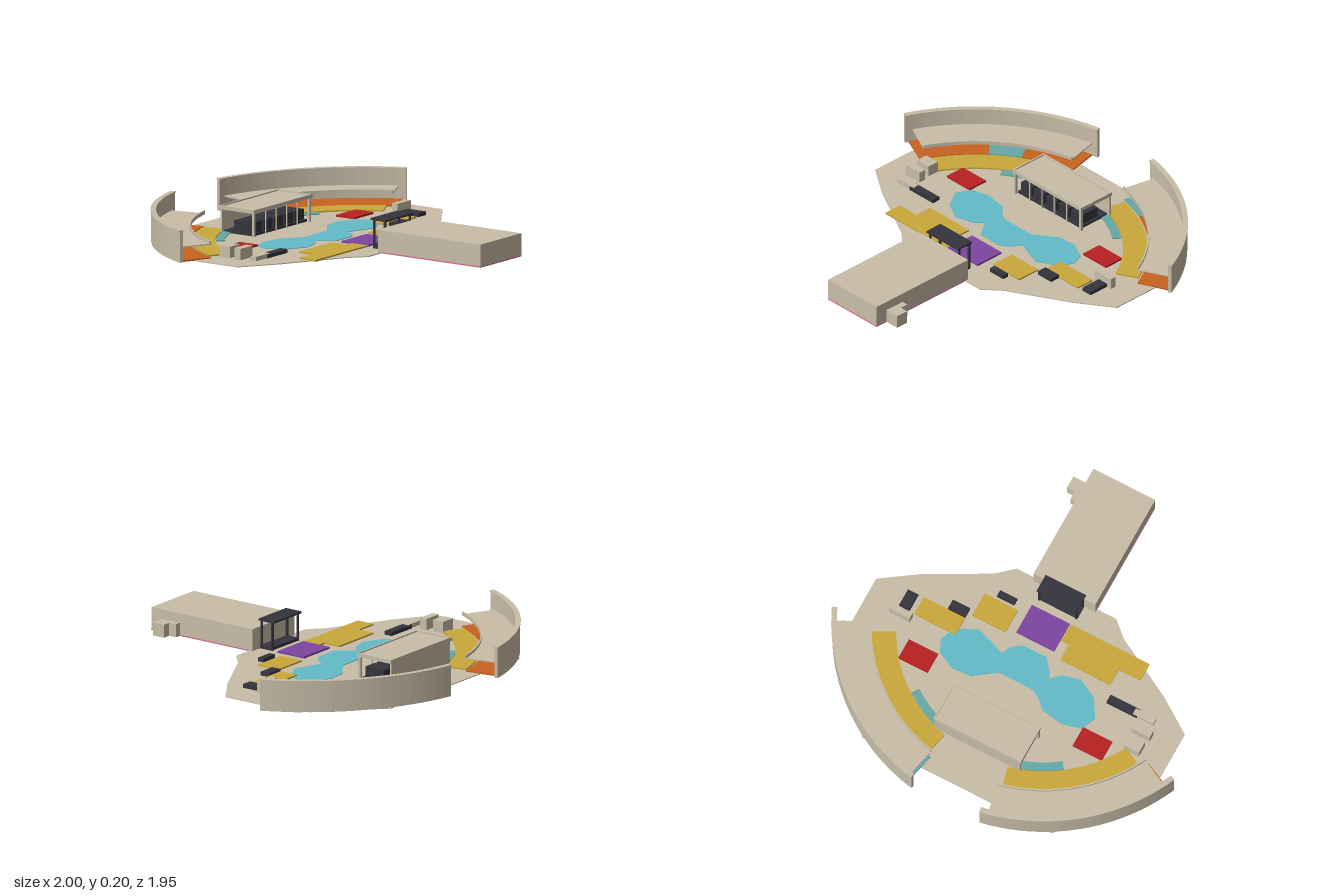
import * as THREE from 'three';

const mat = (name, color) => {
  const m = new THREE.MeshStandardMaterial({ color });
  m.name = name;
  return m;
};

export function createModel() {
  const group = new THREE.Group();
  const beige = mat('beige', 0xc8bda8);
  const yellow = mat('yellow', 0xc9a83a);
  const water = mat('water blue', 0x62bcc8);
  const teal = mat('teal', 0x66a9a6);
  const red = mat('red', 0xb82022);
  const dark = mat('charcoal', 0x34343c);
  const purple = mat('purple', 0x7d45a2);
  const orange = mat('orange', 0xc8621f);
  const pink = mat('pink', 0xe0609c);

  const FLOOR = 0.032;
  const ARC_Z = 0.098; // shared centre of all curved parts
  const rad = THREE.MathUtils.degToRad;

  const add = (name, geometry, material) => {
    const mesh = new THREE.Mesh(geometry, material);
    mesh.name = name;
    group.add(mesh);
    return mesh;
  };
  // box given by its x, y and z ranges
  const box = (name, material, x0, x1, y0, y1, z0, z1) => {
    const g = new THREE.BoxGeometry(x1 - x0, y1 - y0, z1 - z0);
    g.translate((x0 + x1) / 2, (y0 + y1) / 2, (z0 + z1) / 2);
    return add(name, g, material);
  };
  // plan outline in (x, z), raised from y0 to y1
  const slab = (name, material, points, y0, y1) => {
    const shape = new THREE.Shape(points.map(([x, z]) => new THREE.Vector2(x, z)));
    const g = new THREE.ExtrudeGeometry(shape, { depth: y1 - y0, bevelEnabled: false });
    g.rotateX(Math.PI / 2).translate(0, y1, 0);
    return add(name, g, material);
  };
  // ring sector; angles in degrees measured from the back towards +x
  const arc = (name, material, r0, r1, a0, a1, y0, y1) => {
    const n = 20;
    const pts = [];
    const at = (r, a) => [r * Math.sin(rad(a)), ARC_Z - r * Math.cos(rad(a))];
    for (let i = 0; i <= n; i++) pts.push(at(r1, a0 + ((a1 - a0) * i) / n));
    for (let i = n; i >= 0; i--) pts.push(at(r0, a0 + ((a1 - a0) * i) / n));
    return slab(name, material, pts, y0, y1);
  };

  // Main floor plate
  const half = [[0.55, -0.85], [0.9, -0.5], [0.9, -0.05], [0.71, 0.08], [0.38, 0.26], [0.29, 0.34]];
  const mirrored = half.map(([x, z]) => [-x, z]).reverse();
  slab('floor', beige, [...half, ...mirrored], 0.027, FLOOR);

  // Pond with a basin below the floor
  const pond = [
    [-0.455, -0.195], [-0.417, -0.275], [-0.316, -0.3], [-0.19, -0.28], [-0.155, -0.24], [-0.1, -0.205],
    [0.1, -0.205], [0.165, -0.25], [0.22, -0.29], [0.325, -0.297], [0.42, -0.25], [0.45, -0.185],
    [0.42, -0.105], [0.3, -0.045], [0.2, -0.08], [0.14, -0.105], [0.11, -0.05], [0.06, -0.015],
    [-0.075, -0.015], [-0.12, -0.07], [-0.145, -0.11], [-0.19, -0.065], [-0.29, -0.04], [-0.395, -0.095],
  ];
  slab('pondBasin', beige, pond, 0, 0.03);
  slab('pondWater', water, pond, 0.03, FLOOR + 0.003);

  // Curved stands, one on each side
  for (const s of [-1, 1]) {
    const sector = (name, m, r0, r1, a0, a1, y0, y1) =>
      arc(name, m, r0, r1, s * a0, s * a1, y0, y1);
    sector('standWall', beige, 1.072, 1.09, 10.5, 66, FLOOR, 0.195);
    sector('standWallCap', beige, 1.065, 1.094, 10.5, 66, 0.195, 0.2);
    sector('standTerrace', beige, 0.887, 1.073, 12.4, 63.9, 0.1, 0.106);
    sector('standTerraceLip', beige, 0.887, 0.895, 12.4, 63.9, 0.106, 0.12);
    // coloured zones on the ground in front of and below the terrace
    const [t0, t1] = s < 0 ? [31, 42] : [12.4, 24];
    if (s < 0) sector('outerZone', orange, 0.895, 1.072, 12.4, t0, 0.03, 0.038);
    sector('outerZoneMiddle', teal, 0.895, 1.072, t0, t1, 0.03, 0.038);
    sector('outerZoneEnd', orange, 0.895, 1.072, t1, 65, 0.03, 0.038);
    sector('innerZone', yellow, 0.76, 0.885, 14, 62, 0.03, 0.04);
    sector('innerStrip', teal, 0.712, 0.757, 17, 36, 0.03, 0.038);
    const x = s * 0.508;
    box('redPlatform', red, x - 0.085, x + 0.085, 0.03, 0.042, -0.38, -0.265);
  }

  // Pavilion: back wall, roof with raised rim, front posts
  box('pavilionRoof', beige, -0.255, 0.255, 0.155, 0.168, -0.63, -0.41);
  box('pavilionBackWall', beige, -0.25, 0.25, FLOOR, 0.155, -0.628, -0.618);
  for (const s of [-1, 1]) {
    box('pavilionRimSide', beige, s * 0.251 - 0.004, s * 0.251 + 0.004, 0.155, 0.175, -0.63, -0.41);
    const z = s < 0 ? -0.626 : -0.414;
    box('pavilionRimLong', beige, -0.255, 0.255, 0.155, 0.175, z - 0.004, z + 0.004);
    box('pavilionPost', beige, s * 0.243 - 0.007, s * 0.243 + 0.007, FLOOR, 0.155, -0.428, -0.414);
  }
  // dark stalls and slim posts inside the pavilion
  box('pavilionStage', dark, -0.235, 0.235, FLOOR, 0.045, -0.615, -0.43);
  for (let i = 0; i < 5; i++) {
    const x = -0.184 + i * 0.092;
    box('pavilionStall', dark, x - 0.038, x + 0.038, 0.045, 0.1, -0.56, -0.44);
    if (i < 4) box('pavilionSlimPost', beige, x + 0.043, x + 0.049, FLOOR, 0.155, -0.424, -0.418);
  }

  // Entrance hall and its annex
  box('entranceHall', beige, -0.18, 0.18, 0.028, 0.15, 0.32, 0.97);
  box('entranceHallTrim', pink, -0.181, 0.181, 0.03, 0.035, 0.345, 0.971);
  box('annex', beige, 0.18, 0.26, 0.03, 0.1, 0.83, 0.9);
  box('annexStep', beige, 0.18, 0.215, 0.03, 0.1, 0.785, 0.83);

  // Entrance gate
  box('gateCanopy', dark, -0.12, 0.115, 0.18, 0.19, 0.23, 0.33);
  box('gateBase', dark, -0.115, 0.115, FLOOR, 0.048, 0.245, 0.32);
  for (const x of [-0.108, 0.108])
    for (const z of [0.245, 0.314])
      box('gatePost', dark, x - 0.005, x + 0.005, FLOOR, 0.18, z - 0.005, z + 0.005);

  // Flat coloured platforms: x0, x1, z0, z1
  const yellowPads = [
    [-0.435, -0.145, 0.005, 0.1], [-0.56, -0.1, 0.1, 0.2],
    [0.175, 0.37, 0.005, 0.14], [0.395, 0.635, -0.13, -0.025],
  ];
  for (const [a, b, c, d] of yellowPads) box('yellowPlatform', yellow, a, b, 0.03, 0.04, c, d);
  box('purplePlatform', purple, -0.095, 0.125, 0.03, 0.042, 0.03, 0.2);

  // Low dark benches
  const benches = [
    [-0.64, -0.465, -0.09, -0.045], [0.395, 0.495, -0.025, 0.03],
    [0.665, 0.725, -0.145, 0.03 - 0.06], [0.205, 0.305, 0.155, 0.19],
  ];
  for (const [a, b, c, d] of benches) box('bench', dark, a, b, FLOOR, 0.052, c, d);

  // Small kiosks near the edges
  const kiosks = [
    [-0.75, -0.665, -0.27, -0.205], [-0.76, -0.655, -0.17, -0.13],
    [-0.735, -0.615, -0.085, -0.05], [0.635, 0.755, -0.18, -0.145],
  ];
  kiosks.forEach(([a, b, c, d], i) => box('kiosk', beige, a, b, FLOOR, i === 2 ? 0.055 : 0.092, c, d));

  return group;
}
